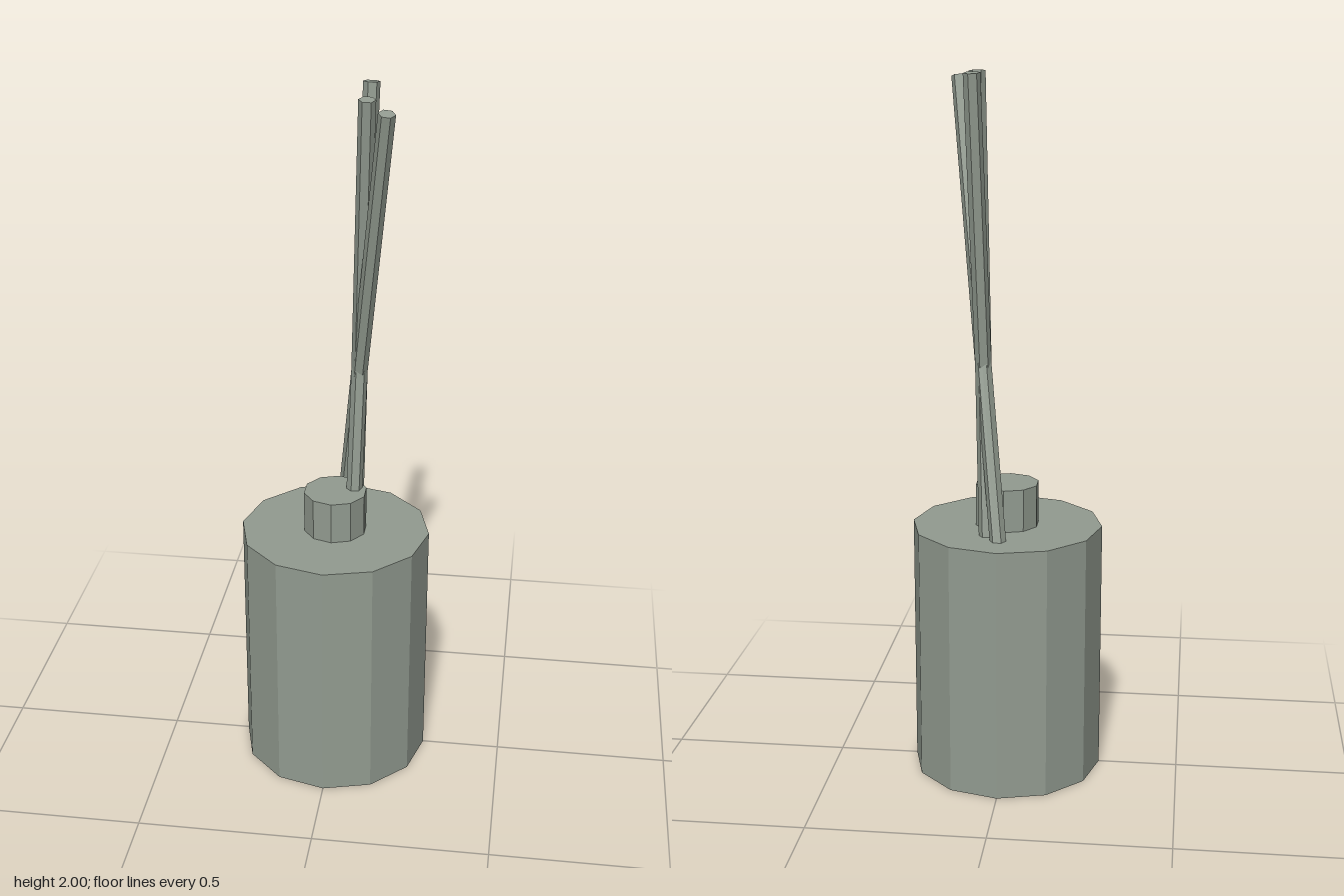
import * as THREE from 'three';

export function createModel() {
  const group = new THREE.Group();
  const material = new THREE.MeshStandardMaterial({ color: 0x929b90, flatShading: true });

  const addPart = (name, geometry, x, y, z) => {
    const mesh = new THREE.Mesh(geometry, material);
    mesh.name = name;
    mesh.position.set(x, y, z);
    group.add(mesh);
    return mesh;
  };

  // Twelve-sided bottle with a ten-sided neck
  addPart('bottle', new THREE.CylinderGeometry(0.272, 0.272, 0.73, 12), 0, 0.365, 0);
  addPart('neck', new THREE.CylinderGeometry(0.091, 0.091, 0.14, 10), 0, 0.782, 0);

  // Equal reeds leaning in different directions through a shared midpoint
  const pivot = new THREE.Vector3(0.06, 1.205, -0.06);
  const up = new THREE.Vector3(0, 1, 0);
  const reeds = [
    { name: 'reedFront', tip: [0.145, 1.981, 0.11], twist: 30 },
    { name: 'reedMiddle', tip: [0.087, 1.997, 0.04], twist: 33 },
    { name: 'reedBack', tip: [0.077, 1.997, -0.145], twist: 42 },
  ];
  for (const { name, tip, twist } of reeds) {
    const lean = new THREE.Vector3(...tip).sub(pivot).normalize();
    const geometry = new THREE.CylinderGeometry(0.023, 0.023, 1.6, 6);
    geometry.rotateY(THREE.MathUtils.degToRad(twist));
    const reed = addPart(name, geometry, pivot.x, pivot.y, pivot.z);
    reed.quaternion.setFromUnitVectors(up, lean);
  }

  return group;
}
